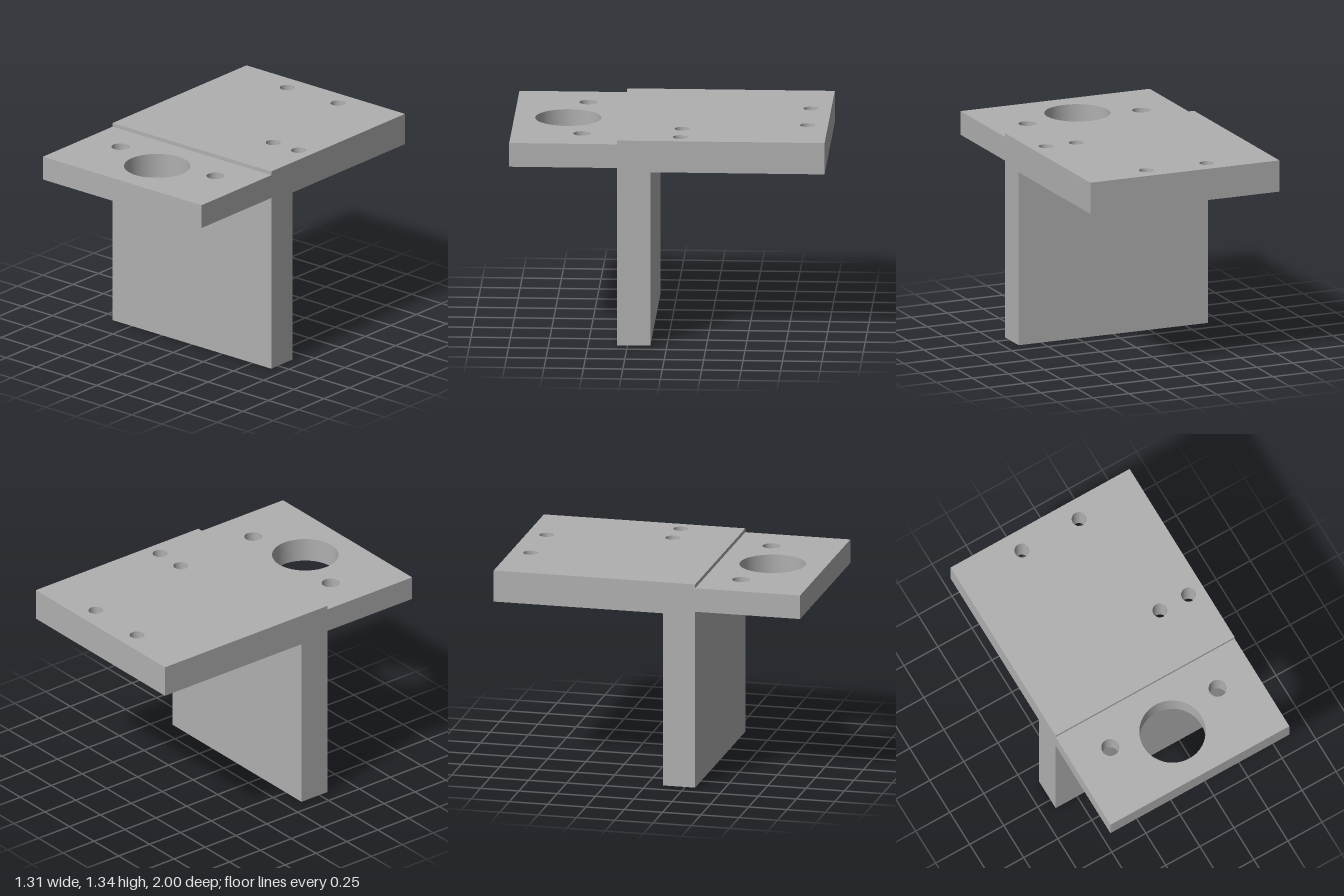
import * as THREE from 'three';
import { toCreasedNormals } from 'three/addons/utils/BufferGeometryUtils.js';

const HALF_WIDTH = 0.657;
const STEP_Z = 0.315;

// Horizontal plate from z0 to z1 with round through-holes given as [x, z, radius]
function drilledPlate(z0, z1, bottom, top, holes) {
  const shape = new THREE.Shape([
    new THREE.Vector2(-HALF_WIDTH, z0),
    new THREE.Vector2(HALF_WIDTH, z0),
    new THREE.Vector2(HALF_WIDTH, z1),
    new THREE.Vector2(-HALF_WIDTH, z1),
  ]);
  for (const [x, z, r] of holes) {
    shape.holes.push(new THREE.Path().absarc(x, z, r, 0, Math.PI * 2, true));
  }
  const geometry = new THREE.ExtrudeGeometry(shape, {
    depth: top - bottom, bevelEnabled: false, curveSegments: 48,
  });
  geometry.rotateX(Math.PI / 2).translate(0, top, 0);
  return toCreasedNormals(geometry, Math.PI / 6);
}

export function createModel() {
  const group = new THREE.Group();
  group.name = 'mountingBracket';
  const metal = new THREE.MeshStandardMaterial({ color: 0xb0b0b0 });
  metal.name = 'grey metal';

  const add = (name, geometry) => {
    const mesh = new THREE.Mesh(geometry, metal);
    mesh.name = name;
    group.add(mesh);
    return mesh;
  };

  // Thinner front shelf with a large bore and two screw holes
  add('frontPlate', drilledPlate(STEP_Z, 1, 1.16, 1.315, [
    [0, 0.657, 0.21], [-0.394, 0.55, 0.057], [0.394, 0.55, 0.057],
  ]));

  // Thicker rear shelf with two pairs of small holes
  add('rearPlate', drilledPlate(-1, STEP_Z, 1.135, 1.34, [
    [-0.21, -0.87, 0.047], [0.21, -0.87, 0.047],
    [0.34, -0.08, 0.047], [0.55, -0.08, 0.047],
  ]));

  // Upright web below the step
  add('uprightPlate', new THREE.BoxGeometry(HALF_WIDTH * 2, 1.135, 0.21))
    .position.set(0, 1.135 / 2, STEP_Z - 0.105);

  return group;
}
